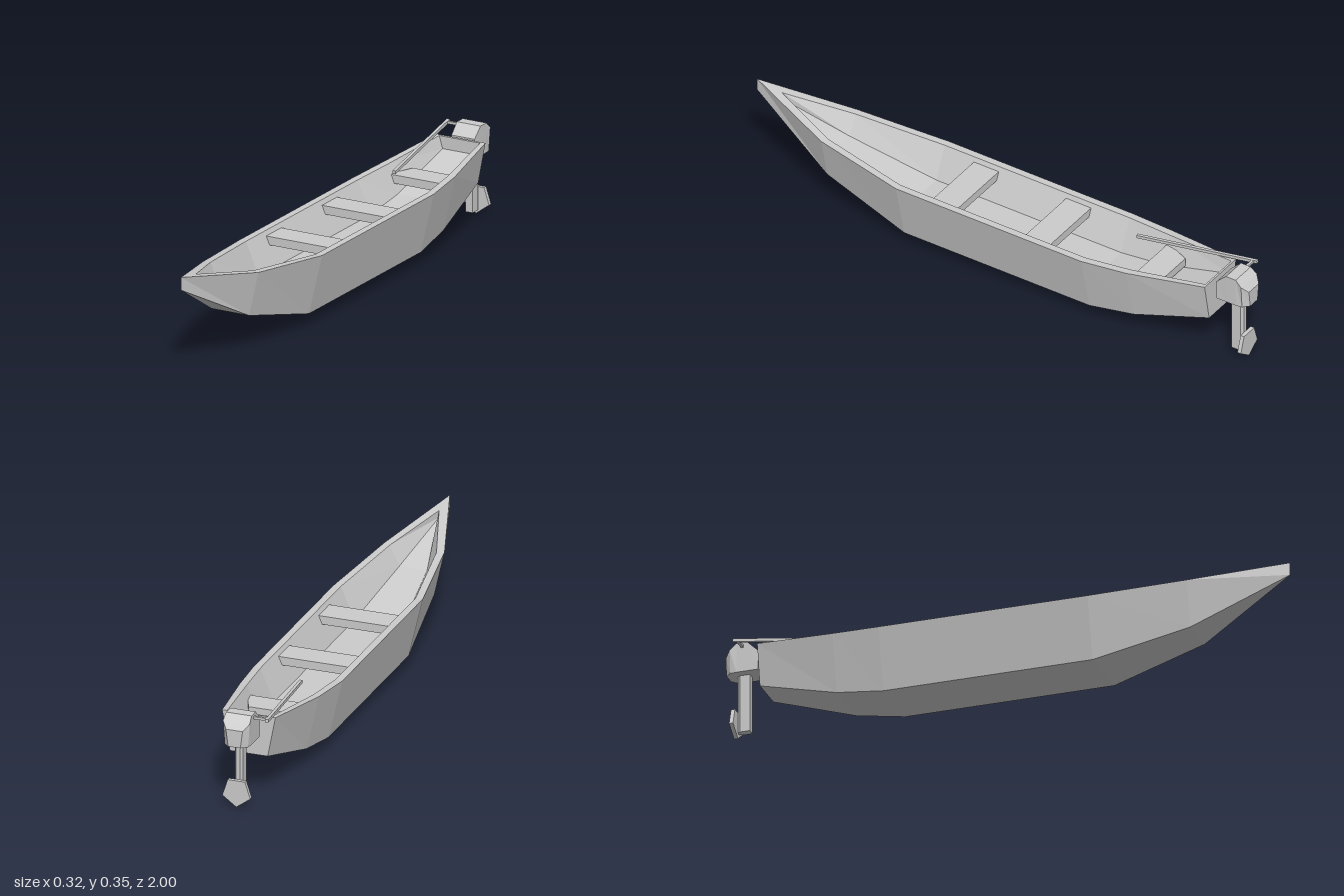
import * as THREE from 'three';

const material = new THREE.MeshStandardMaterial({ color: 0xcccccc, flatShading: true });

function add(group, name, geometry) {
  const mesh = new THREE.Mesh(geometry, material);
  mesh.name = name;
  group.add(mesh);
  return mesh;
}

// Skins closed rings (counterclockwise seen from +z, ordered from -z to +z).
// startFaces and endFaces list quads of ring indices closing the two ends.
function loft(rings, startFaces = [[0, 3, 2, 1]], endFaces = [[0, 1, 2, 3]]) {
  const pos = [];
  const quad = (a, b, c, d) => [a, b, c, a, c, d].forEach((p) => pos.push(...p));
  for (let s = 0; s < rings.length - 1; s++) {
    const a = rings[s], b = rings[s + 1], n = a.length;
    for (let i = 0; i < n; i++) quad(a[i], a[(i + 1) % n], b[(i + 1) % n], b[i]);
  }
  startFaces.forEach((f) => quad(...f.map((i) => rings[0][i])));
  endFaces.forEach((f) => quad(...f.map((i) => rings[rings.length - 1][i])));
  const g = new THREE.BufferGeometry();
  g.setAttribute('position', new THREE.Float32BufferAttribute(pos, 3));
  g.computeVertexNormals();
  return g;
}

// Four-cornered ring: bottom half width, top half width, bottom y, top y, z
const ring = (wb, wt, y0, y1, z) => [[-wb, y0, z], [wb, y0, z], [wt, y1, z], [-wt, y1, z]];

// Thin square bar between two points
function bar(group, name, from, to, size) {
  const a = new THREE.Vector3(...from), b = new THREE.Vector3(...to);
  const mesh = add(group, name, new THREE.BoxGeometry(size, size, a.distanceTo(b)));
  mesh.position.copy(a).add(b).multiplyScalar(0.5);
  mesh.lookAt(b);
}

function createHull() {
  // outer: z, keel y, keel half width, rim y, rim half width
  // inner: z, floor y, floor half width, rim y, rim half width
  const stations = [
    [[-0.865, 0.15, 0.068, 0.295, 0.096], [-0.857, 0.25, 0.066, 0.294, 0.079]],
    [[-0.58, 0.068, 0.098, 0.267, 0.144], [-0.58, 0.168, 0.078, 0.267, 0.118]],
    [[-0.41, 0.043, 0.11, 0.258, 0.161], [-0.41, 0.143, 0.085, 0.258, 0.135]],
    [[0.335, 0.043, 0.11, 0.258, 0.161], [0.335, 0.143, 0.085, 0.258, 0.135]],
    [[0.67, 0.128, 0.073, 0.287, 0.109], [0.66, 0.215, 0.05, 0.287, 0.084]],
    [[1.0, 0.302, 0, 0.347, 0], [0.9, 0.305, 0, 0.33, 0]],
  ];
  const rings = stations.map(([o, n]) => [
    [-o[2], o[1], o[0]], [o[2], o[1], o[0]], [o[4], o[3], o[0]],
    [n[4], n[3], n[0]], [n[2], n[1], n[0]], [-n[2], n[1], n[0]],
    [-n[4], n[3], n[0]], [-o[4], o[3], o[0]],
  ]);
  // Stern: transom, its top rim and its inside wall
  return loft(rings, [[0, 7, 2, 1], [7, 6, 3, 2], [5, 4, 3, 6]], []);
}

function createMotor() {
  const motor = new THREE.Group();
  motor.name = 'outboardMotor';

  // Faceted engine cover
  add(motor, 'engineCover', loft([
    ring(0.022, 0.03, 0.226, 0.288, -1.0),
    ring(0.042, 0.048, 0.225, 0.31, -0.98),
    ring(0.045, 0.046, 0.225, 0.331, -0.957),
    ring(0.045, 0.046, 0.225, 0.331, -0.918),
    ring(0.045, 0.045, 0.225, 0.295, -0.88),
  ]));

  // Drive leg, narrowed at the back
  const section = new THREE.Shape([
    [-0.014, 0.92], [0.014, 0.92], [0.014, 0.955], [0.007, 0.965], [-0.007, 0.965], [-0.014, 0.955],
  ].map(([x, y]) => new THREE.Vector2(x, y)));
  const leg = new THREE.ExtrudeGeometry(section, { depth: 0.215, bevelEnabled: false });
  leg.rotateX(-Math.PI / 2);
  add(motor, 'driveLeg', leg).position.y = 0.017;

  // Five-sided propeller plate with a corner pointing down
  const propeller = new THREE.CylinderGeometry(0.053, 0.053, 0.014, 5);
  propeller.rotateX(Math.PI / 2);
  add(motor, 'propeller', propeller).position.set(0, 0.053, -0.974);

  // Steering handle and its bracket
  bar(motor, 'tillerBracket', [-0.095, 0.317, -0.935], [-0.04, 0.317, -0.935], 0.009);
  bar(motor, 'tiller', [-0.098, 0.318, -0.95], [-0.046, 0.274, -0.5], 0.011);
  return motor;
}

export function createModel() {
  const boat = new THREE.Group();
  boat.name = 'boat';
  add(boat, 'hull', createHull());

  // Bench seats
  [['rearBench', -0.21], ['frontBench', 0.162]].forEach(([name, z]) => {
    add(boat, name, new THREE.BoxGeometry(0.266, 0.03, 0.1)).position.set(0, 0.227, z);
  });
  // Tapered seat by the stern
  add(boat, 'sternSeat', loft([
    ring(0.075, 0.075, 0.203, 0.233, -0.675),
    ring(0.115, 0.115, 0.203, 0.233, -0.58),
  ]));

  boat.add(createMotor());
  return boat;
}
